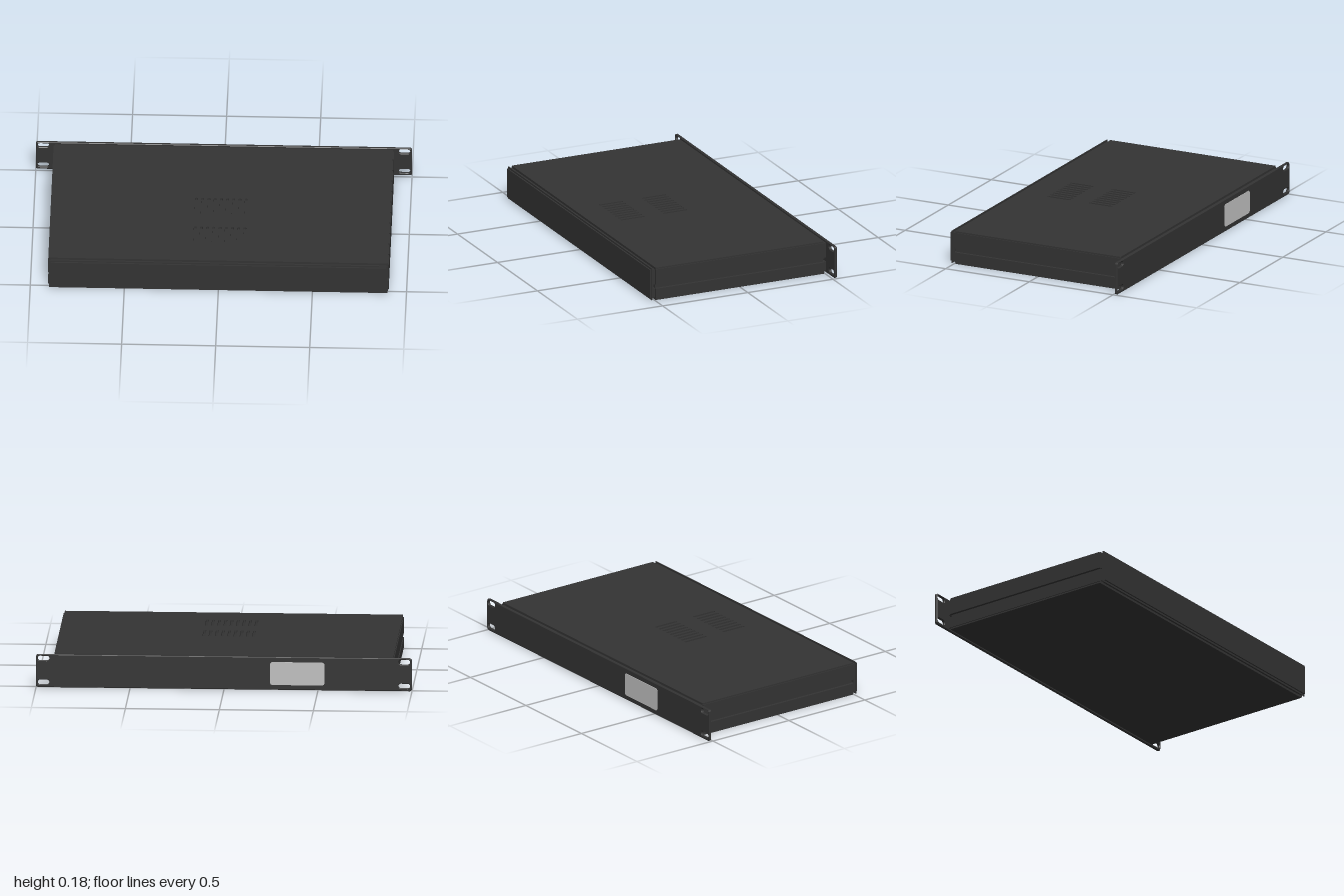
import * as THREE from 'three';

const black = new THREE.MeshStandardMaterial({ color: 0x333333 });
black.name = 'black metal';
const grey = new THREE.MeshStandardMaterial({ color: 0xc0c0c0 });
grey.name = 'light grey';

// Traces a rounded rectangle on a Shape or Path
function roundedRect(path, cx, cy, w, h, r) {
  const x = w / 2 - r, y = h / 2 - r;
  path.moveTo(cx + x + r, cy - y);
  path.absarc(cx + x, cy + y, r, 0, Math.PI / 2, false);
  path.absarc(cx - x, cy + y, r, Math.PI / 2, Math.PI, false);
  path.absarc(cx - x, cy - y, r, Math.PI, Math.PI * 1.5, false);
  path.absarc(cx + x, cy - y, r, Math.PI * 1.5, Math.PI * 2, false);
  path.closePath();
  return path;
}

export function createModel() {
  const model = new THREE.Group();
  model.name = 'rackEnclosure';

  const add = (name, geometry, material = black) => {
    const mesh = new THREE.Mesh(geometry, material);
    mesh.name = name;
    model.add(mesh);
    return mesh;
  };
  // Box given by its limits on each axis
  const box = (name, x0, x1, y0, y1, z0, z1) =>
    add(name, new THREE.BoxGeometry(x1 - x0, y1 - y0, z1 - z0))
      .position.set((x0 + x1) / 2, (y0 + y1) / 2, (z0 + z1) / 2);

  // Top cover with two banks of through slots
  const lid = roundedRect(new THREE.Shape(), 0, 0, 1.8, 0.988, 0.004);
  for (const z of [0.02, 0.27]) {
    for (let i = 0; i < 9; i++) {
      lid.holes.push(roundedRect(new THREE.Path(), (i - 4) * 0.033, -z, 0.015, 0.14, 0.007));
    }
  }
  const lidGeometry = new THREE.ExtrudeGeometry(lid, { depth: 0.012, bevelEnabled: false, curveSegments: 4 });
  lidGeometry.rotateX(-Math.PI / 2);
  add('topCover', lidGeometry).position.y = 0.17;

  // Bottom cover
  box('bottomCover', -0.9, 0.9, 0, 0.012, -0.494, 0.494);

  // Side rails: C-shaped section with a groove along the outside
  const section = new THREE.Shape();
  [[0.87, 0.008], [0.905, 0.008], [0.905, 0.065], [0.89, 0.065], [0.89, 0.087],
    [0.905, 0.087], [0.905, 0.174], [0.87, 0.174]]
    .forEach(([x, y], i) => (i ? section.lineTo(x, y) : section.moveTo(x, y)));
  section.closePath();
  for (const side of [1, -1]) {
    const rail = new THREE.ExtrudeGeometry(section, { depth: 0.988, bevelEnabled: false });
    rail.translate(0, 0, -0.494);
    if (side < 0) rail.rotateY(Math.PI);
    add(side > 0 ? 'leftRail' : 'rightRail', rail);
  }

  // Mounting strips joining the covers to both end panels
  for (const side of [1, -1]) {
    const a = side * 0.485, b = side * 0.513;
    const z0 = Math.min(a, b), z1 = Math.max(a, b);
    box('lowerMountingStrip', -0.893, 0.893, 0.014, 0.065, z0, z1);
    box('upperMountingStrip', -0.893, 0.893, 0.087, 0.17, z0, z1);
  }

  // Front panel with a thin flange behind a raised face
  box('frontFlange', -0.9, 0.9, 0.002, 0.181, 0.512, 0.517);
  box('frontFace', -0.893, 0.893, 0.012, 0.172, 0.502, 0.525);

  // Rear rack panel with mounting ears and slotted holes
  const panel = roundedRect(new THREE.Shape(), 0, 0.0915, 2, 0.178, 0.012);
  for (const x of [-0.96, 0.96]) {
    for (const y of [0.03, 0.16]) {
      panel.holes.push(roundedRect(new THREE.Path(), x, y, 0.062, 0.026, 0.0125));
    }
  }
  const panelGeometry = new THREE.ExtrudeGeometry(panel, {
    depth: 0.01, bevelEnabled: true, bevelThickness: 0.003, bevelSize: 0.003,
    bevelOffset: -0.003, bevelSegments: 1, curveSegments: 6,
  });
  panelGeometry.translate(0, 0, -0.522);
  add('rackPanel', panelGeometry);

  // Pale plate on the outside of the rack panel
  const plate = roundedRect(new THREE.Shape(), -0.39, 0.0915, 0.29, 0.125, 0.014);
  const plateGeometry = new THREE.ExtrudeGeometry(plate, { depth: 0.003, bevelEnabled: false, curveSegments: 4 });
  plateGeometry.translate(0, 0, -0.527);
  add('palePlate', plateGeometry, grey);

  return model;
}
